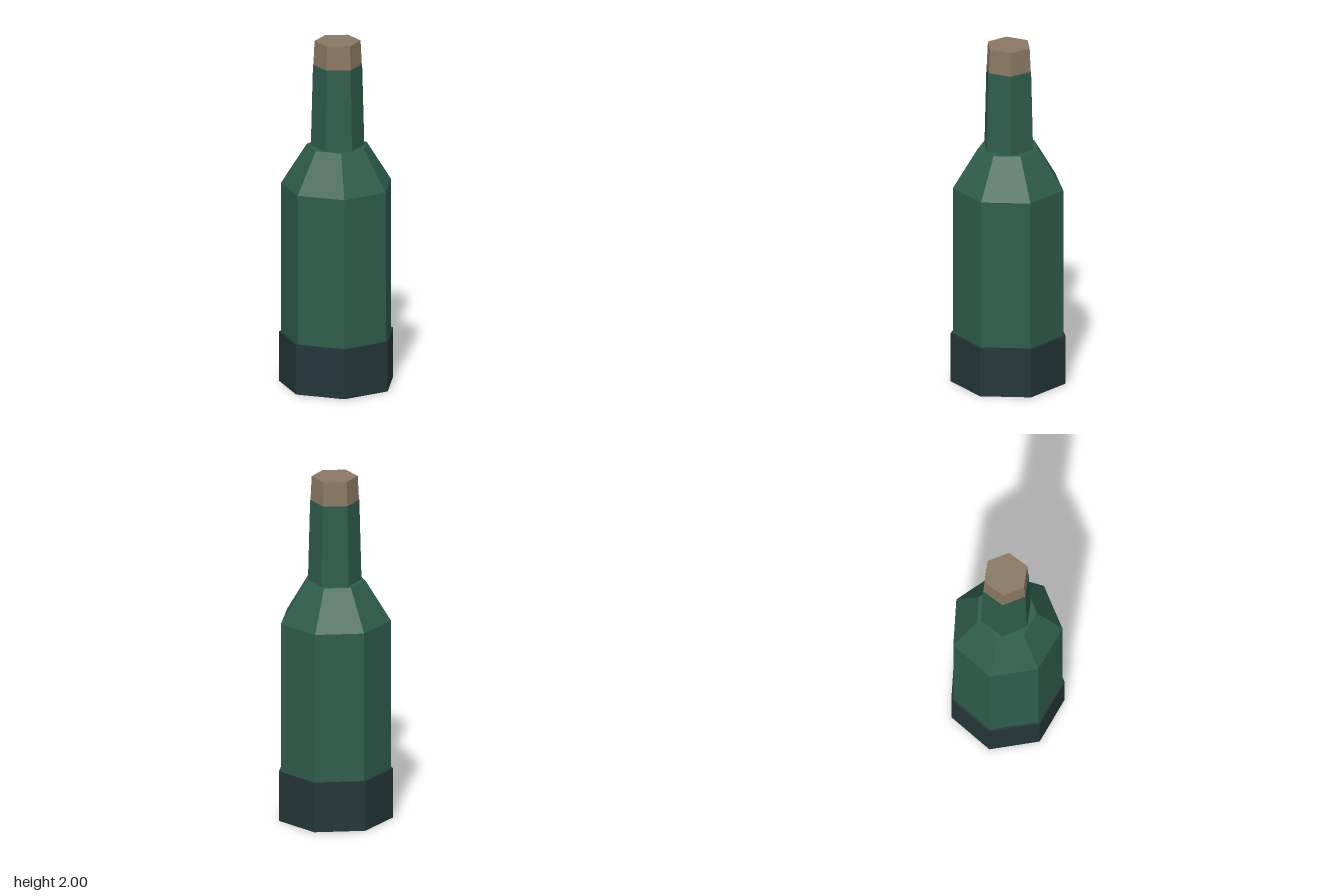
import * as THREE from 'three';

export function createModel() {
  const bottle = new THREE.Group();
  bottle.name = 'bottle';

  const material = (name, color) => {
    const m = new THREE.MeshStandardMaterial({ color, flatShading: true });
    m.name = name;
    return m;
  };
  const glass = material('green glass', 0x2f5d4c);
  const label = material('dark base band', 0x243638);
  const cork = material('cork brown', 0x8a7963);

  // Faceted tapered section between two heights, with one corner toward the back
  const section = (name, mat, sides, y0, y1, r0, r1) => {
    const geometry = new THREE.CylinderGeometry(r1, r0, y1 - y0, sides, 1);
    geometry.rotateY(Math.PI);
    const mesh = new THREE.Mesh(geometry, mat);
    mesh.name = name;
    // The seven-sided footprint is centred by its bounds, so the axis sits slightly forward
    mesh.position.set(0, (y0 + y1) / 2, 0.016);
    bottle.add(mesh);
  };

  // Seven-sided lower bottle
  section('baseBand', label, 7, 0, 0.29, 0.33, 0.33);
  section('body', glass, 7, 0.02, 1.16, 0.318, 0.318);
  section('shoulder', glass, 7, 1.16, 1.39, 0.318, 0.174);

  // Six-sided neck and stopper
  section('neck', glass, 6, 1.39, 1.86, 0.15, 0.138);
  section('cork', cork, 6, 1.86, 2, 0.136, 0.129);

  return bottle;
}
